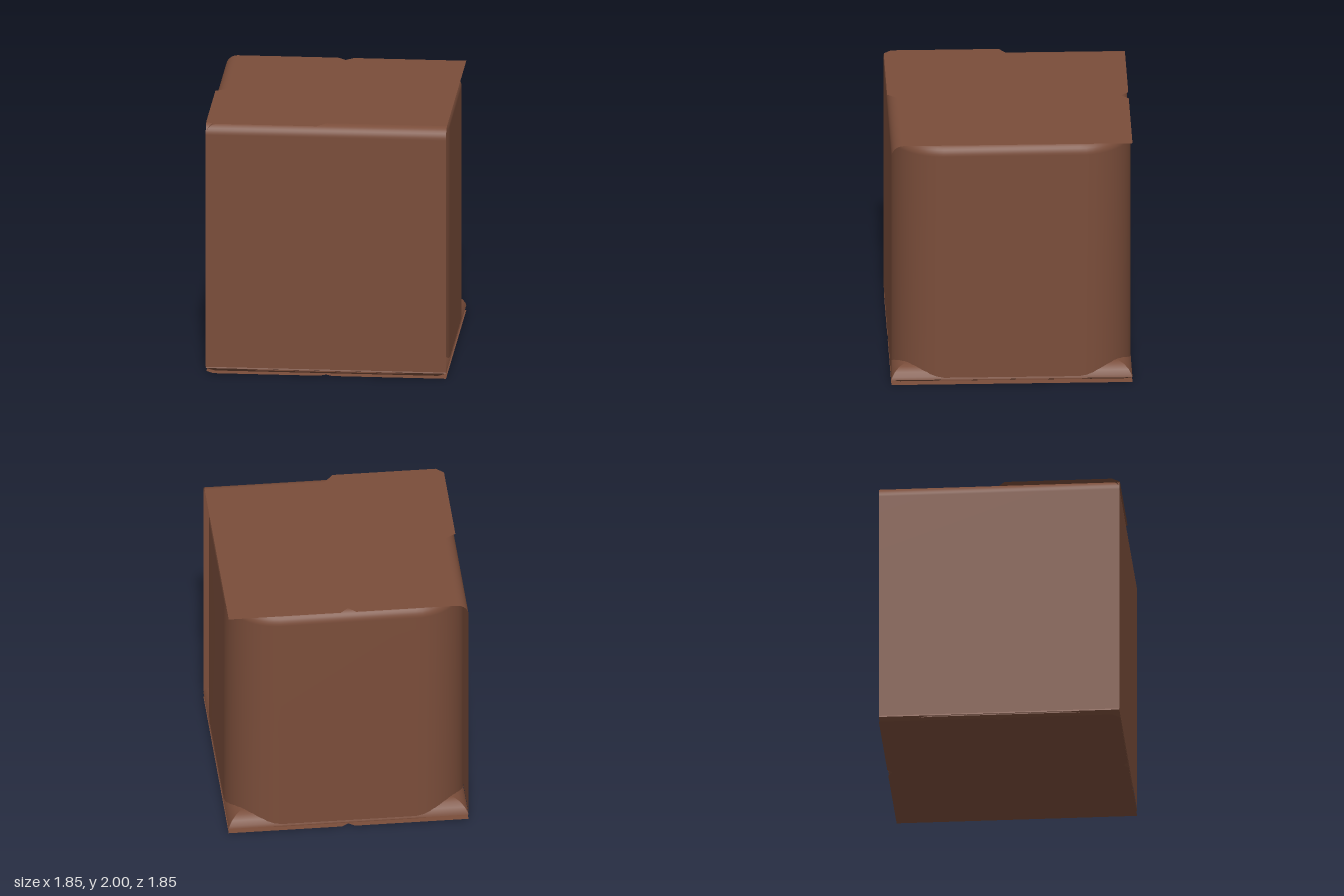
import * as THREE from 'three';

const H = 0.927; // half width of the block
const R = 0.09; // small edge rounding

// Surface through rows of points; normals are smoothed within each surface.
function surface(rows, closed) {
  const n = rows[0].length, index = [];
  const cols = closed ? n : n - 1;
  for (let i = 0; i < rows.length - 1; i++) {
    for (let j = 0; j < cols; j++) {
      const a = i * n + j, b = i * n + (j + 1) % n;
      index.push(a, b, b + n, a, b + n, a + n);
    }
  }
  const g = new THREE.BufferGeometry();
  g.setAttribute('position', new THREE.Float32BufferAttribute(rows.flat(2), 3));
  g.setIndex(index);
  g.computeVertexNormals();
  return g;
}

// Rounded square ring, anticlockwise from above
function ring(half, radius, y, steps = 12) {
  const pts = [];
  for (let c = 0; c < 4; c++) {
    const mid = (c + 0.5) * Math.PI / 2;
    const cx = Math.sign(Math.cos(mid)) * (half - radius);
    const cz = Math.sign(Math.sin(mid)) * (half - radius);
    for (let s = 0; s <= steps; s++) {
      const a = (c + s / steps) * Math.PI / 2;
      pts.push([cx + radius * Math.cos(a), y, cz + radius * Math.sin(a)]);
    }
  }
  return pts.reverse();
}

// Quarter arc easing a wall into the top
function arc(steps = 8) {
  return Array.from({ length: steps + 1 }, (_, i) => {
    const a = i / steps * Math.PI / 2;
    return [H - R + R * Math.cos(a), 2 - R + R * Math.sin(a)];
  });
}

export function createModel() {
  const model = new THREE.Group();
  const brown = new THREE.MeshStandardMaterial({ color: 0x7a4d3a, side: THREE.DoubleSide });
  brown.name = 'brown';
  const add = (name, geometry) => {
    const mesh = new THREE.Mesh(geometry, brown);
    mesh.name = name;
    model.add(mesh);
    return mesh;
  };

  // Core with wide rounded upright corners and a softened top edge
  const B = H - 0.004;
  const core = [ring(B, 0.4, 0.03), ring(B, 0.4, 1)];
  for (const [d, y] of arc()) core.push(ring(d - 0.004, 0.4 - (H - d), y - 0.006));
  add('core', surface(core, true));

  // Full-width sheets on the front and on the -x side, curling over at the top
  const profile = [[H, 0.05], [H, 1], ...arc()];
  add('frontSheet', surface(profile.map(([d, y]) => [[-H, y, d], [H, y, d]]), false));
  add('sideSheet', surface(profile.map(([d, y]) => [[-d, y, -H], [-d, y, H]]), false));

  // Flat sheet outline with small notches at the edge middles
  const E = H - R;
  const outline = new THREE.Shape([
    [H, -H], [0.06, -H], [0, -0.87], [-0.06, -H], [-E, -H],
    [-E, -0.02], [-H, 0.04], [-H, 0.87], [-0.87, H], [-0.07, H], [0, E], [H, E],
  ].map(([x, z]) => new THREE.Vector2(x, -z)));
  const sheet = new THREE.ShapeGeometry(outline).rotateX(-Math.PI / 2);
  add('topSheet', sheet).position.y = 2;

  // Base sheet, a plain square with one blunt corner
  const base = new THREE.Shape([
    [H, -H], [0.05, -H], [0, -0.89], [-0.05, -H], [-H, -H], [-H, -0.05], [-0.89, 0],
    [-H, 0.05], [-H, 0.87], [-0.87, H], [-0.05, H], [0, 0.89], [0.05, H], [H, H],
  ].map(([x, z]) => new THREE.Vector2(x, z)));
  add('baseSheet', new THREE.ShapeGeometry(base).rotateX(Math.PI / 2));

  // Base flange, its shoulder showing where the core's corners recede
  const corner = 0.001;
  const shoulder = [[H, 0.04], [H - 0.006, 0.06], [0.9, 0.095], [0.865, 0.125], [0.82, 0.14], [0.6, 0.145]];
  add('baseFlange', surface(shoulder.map(([d, y]) => ring(d, corner, y, 1)), true));
  add('flangeUnderside', surface([ring(0.86, corner, 0.002, 1), ring(H, corner, 0.04, 1)], true));

  return model;
}
